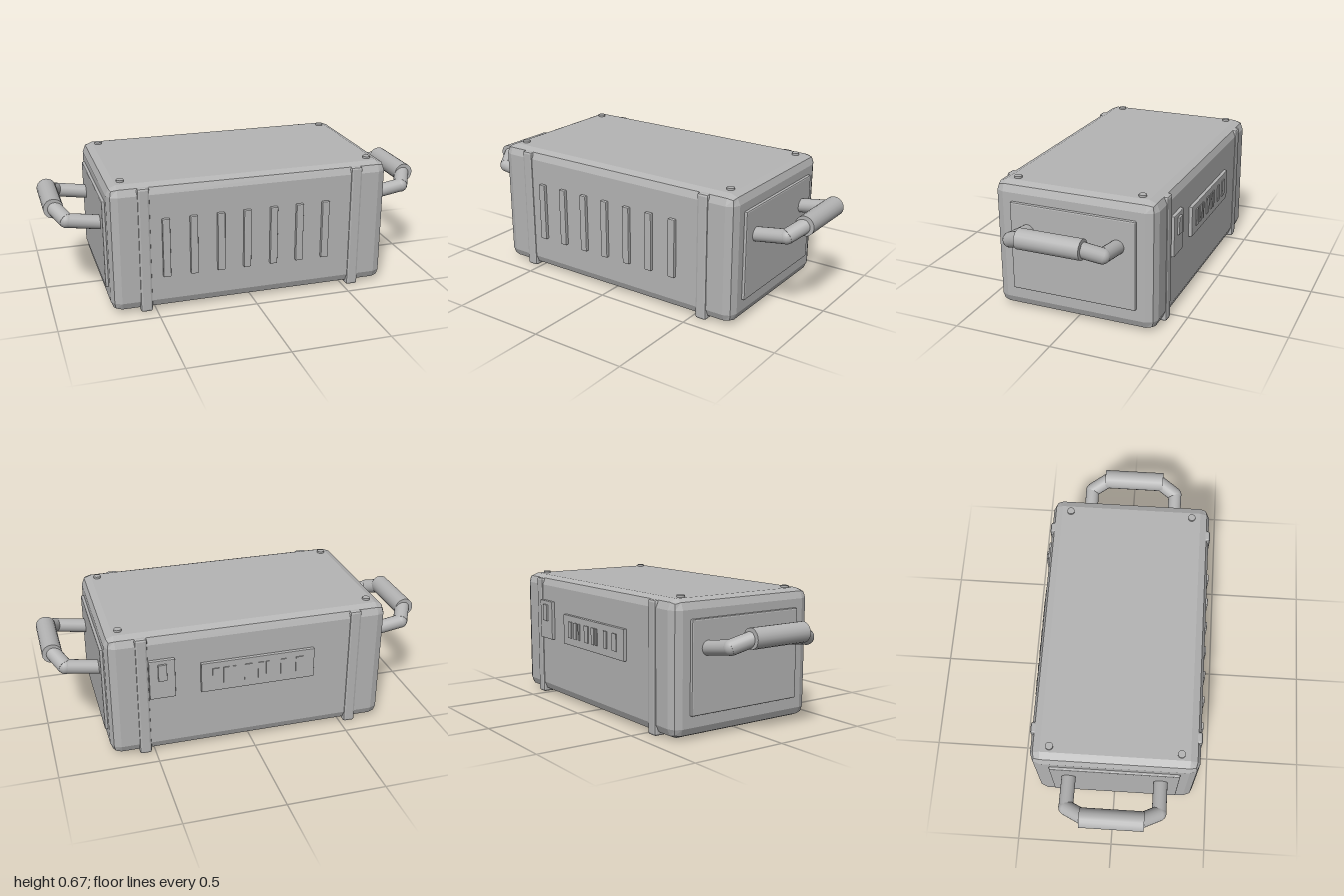
import * as THREE from 'three';
import { RoundedBoxGeometry } from 'three/addons/geometries/RoundedBoxGeometry.js';

const grey = new THREE.MeshStandardMaterial({ color: 0xb4b4b4 });
const ZC = 0.005; // middle of the case in z

// Bevelled box given by its extents, with flat facets
function box(parent, name, [x0, x1], [y0, y1], [z0, z1], bevel) {
  const size = [x1 - x0, y1 - y0, z1 - z0];
  const geo = bevel ? new RoundedBoxGeometry(...size, 1, bevel) : new THREE.BoxGeometry(...size);
  if (bevel) geo.computeVertexNormals();
  const mesh = new THREE.Mesh(geo, grey);
  mesh.name = name;
  mesh.position.set((x0 + x1) / 2, (y0 + y1) / 2, (z0 + z1) / 2);
  parent.add(mesh);
}

// Round bar between two points
function bar(parent, name, a, b, radius) {
  const dir = b.clone().sub(a);
  const mesh = new THREE.Mesh(new THREE.CylinderGeometry(radius, radius, dir.length(), 20), grey);
  mesh.name = name;
  mesh.position.copy(a).add(b).multiplyScalar(0.5);
  mesh.quaternion.setFromUnitVectors(new THREE.Vector3(0, 1, 0), dir.normalize());
  parent.add(mesh);
}

// Carrying handle: two bent arms and a thicker grip
function makeHandle(side) {
  const handle = new THREE.Group();
  handle.name = side > 0 ? 'leftHandle' : 'rightHandle';
  const p = (x, y, z) => new THREE.Vector3(side * x, y, ZC + z);
  for (const s of [-1, 1]) {
    const root = p(0.71, 0.427, s * 0.232);
    const elbow = p(0.897, 0.457, s * 0.232);
    const end = p(0.946, 0.496, s * 0.14);
    bar(handle, 'handleArm', root, elbow, 0.036);
    bar(handle, 'handleBend', elbow, end, 0.038);
    const joint = new THREE.Mesh(new THREE.SphereGeometry(0.037, 16, 12), grey);
    joint.name = 'handleElbow';
    joint.position.copy(elbow);
    handle.add(joint);
  }
  bar(handle, 'handleGrip', p(0.949, 0.497, -0.16), p(0.949, 0.497, 0.16), 0.05);
  return handle;
}

export function createModel() {
  const model = new THREE.Group();
  model.name = 'equipmentCase';

  // Main case
  box(model, 'caseBody', [-0.722, 0.722], [0.008, 0.663], [ZC - 0.417, ZC + 0.417], 0.05);

  for (const s of [-1, 1]) {
    // Band round the case, end panel and handle
    box(model, 'band', [s * 0.55 - 0.031, s * 0.55 + 0.031], [0, 0.65], [ZC - 0.4235, ZC + 0.4235], 0.012);
    box(model, 'endPanel', [s * 0.725 - 0.012, s * 0.725 + 0.012], [0.115, 0.57], [ZC - 0.324, ZC + 0.324], 0.007);
    model.add(makeHandle(s));

    // Lid studs
    for (const t of [-1, 1]) {
      const x = s * 0.642, z = ZC + t * 0.322;
      bar(model, 'lidStud', new THREE.Vector3(x, 0.65, z), new THREE.Vector3(x, 0.673, z), 0.019);
    }
  }

  // Upright ribs on the front
  for (const x of [-0.445, -0.306, -0.168, -0.032, 0.107, 0.244, 0.383]) {
    box(model, 'frontRib', [x - 0.019, x + 0.019], [0.183, 0.488], [0.41, 0.44], 0.004);
  }

  // Rear socket panel with bars of varied width
  box(model, 'rearPanel', [-0.33, 0.26], [0.32, 0.48], [-0.43, -0.4], 0.003);
  const bars = [[0.17, 0.203], [0.117, 0.147], [0.085, 0.1], [0, 0.038],
    [-0.06, -0.032], [-0.088, -0.073], [-0.18, -0.15], [-0.27, -0.23]];
  for (const span of bars) box(model, 'rearBar', span, [0.36, 0.448], [-0.435, -0.42]);

  // Rear switch
  box(model, 'switchPlate', [0.39, 0.52], [0.32, 0.53], [-0.43, -0.4], 0.004);
  box(model, 'switchButton', [0.432, 0.476], [0.42, 0.51], [-0.44, -0.42], 0.003);

  return model;
}
